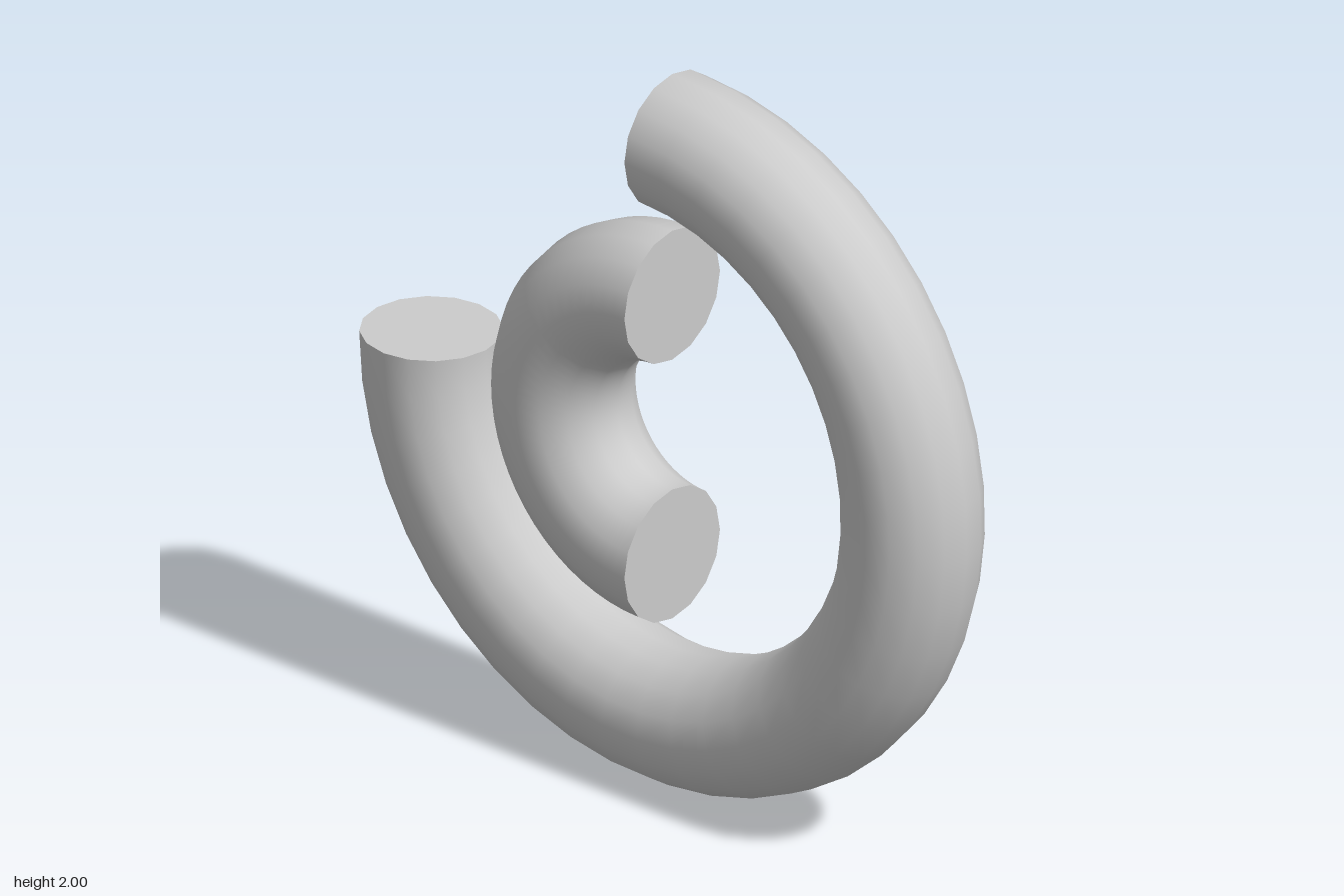
import * as THREE from 'three';

const TUBE = 0.184, SIDES = 16, CENTRE_Y = 1.0;

// Capped ring segment in the zy plane; angles run from +z (front) towards +y.
function ringArc(name, radius, start, arc, segments, material) {
  const group = new THREE.Group();
  group.name = name;

  const ring = new THREE.Mesh(new THREE.TorusGeometry(radius, TUBE, SIDES, segments, arc), material);
  ring.name = name + 'Tube';
  group.add(ring);

  // Flat discs closing both ends, facing away from the tube
  [[0, Math.PI / 2, 'StartCap'], [arc, -Math.PI / 2, 'EndCap']].forEach(([angle, turn, suffix]) => {
    const holder = new THREE.Group();
    holder.rotation.z = angle;
    const cap = new THREE.Mesh(new THREE.CircleGeometry(TUBE, SIDES), material);
    cap.name = name + suffix;
    cap.position.x = radius;
    cap.rotation.x = turn;
    holder.add(cap);
    group.add(holder);
  });

  // Turn the ring to its start angle, then swing it to face sideways
  group.rotation.set(0, -Math.PI / 2, start);
  group.position.y = CENTRE_Y;
  return group;
}

export function createModel() {
  const model = new THREE.Group();
  model.name = 'nestedRings';
  const grey = new THREE.MeshStandardMaterial({ color: 0xcccccc });

  // Three-quarter ring, open between top and back
  model.add(ringArc('outerRing', 1 - TUBE, -Math.PI, Math.PI * 1.5, 32, grey));
  // Half ring at the back, open towards the front
  model.add(ringArc('innerRing', 0.369, Math.PI / 2, Math.PI, 32, grey));
  return model;
}
